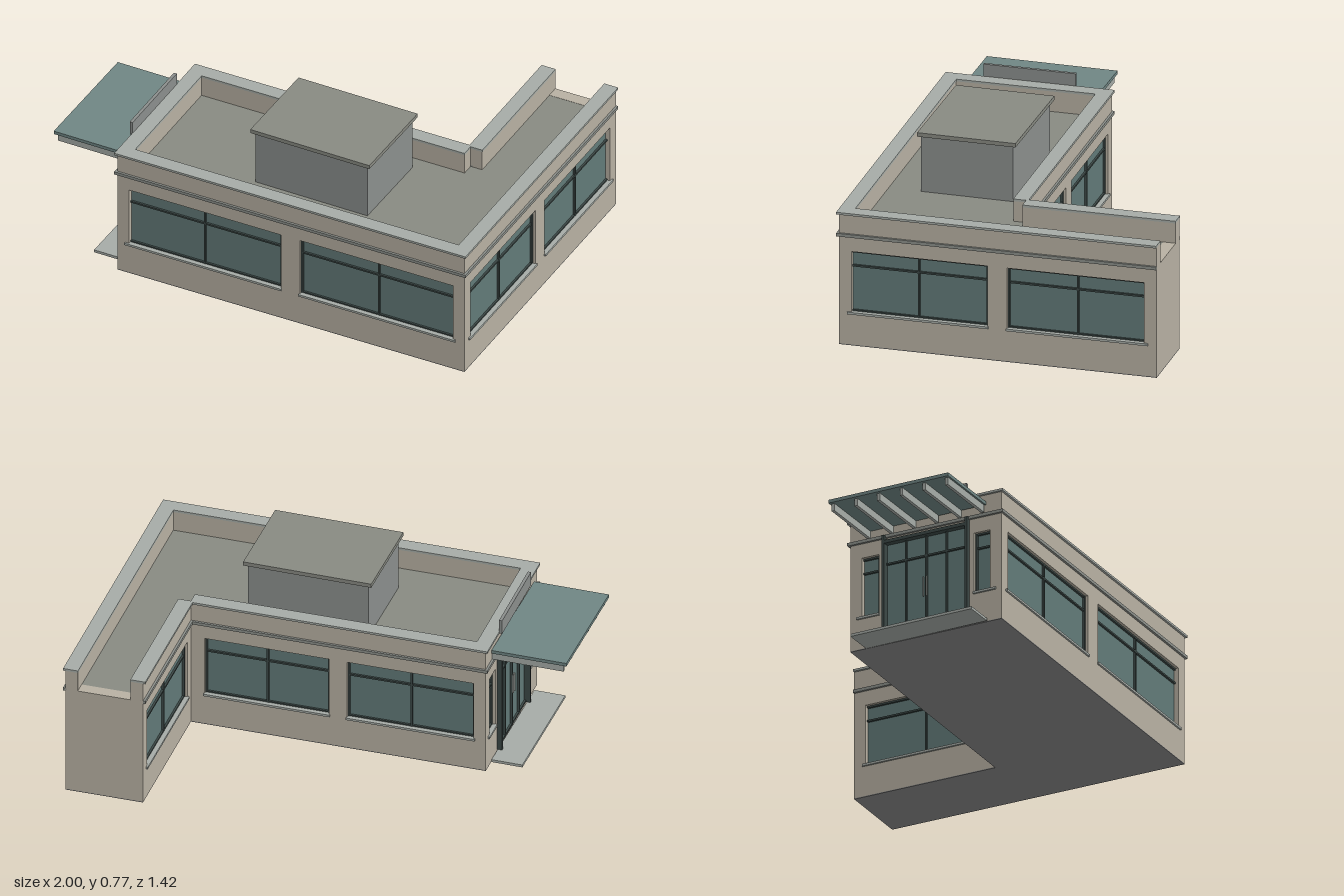
import * as THREE from 'three';

const paint = (color) => new THREE.MeshStandardMaterial({ color });
const MAT = {
  wall: paint(0xb8b1a3), coping: paint(0xa6aca7), band: paint(0x8c908b), roof: paint(0x888a82),
  glass: paint(0x627a78), frame: paint(0x3c4846), unit: paint(0x8b8f8d), floor: paint(0x888888),
  canopy: paint(0x708684),
};

// Plan of the L-shaped building: main block plus a wing at the back
const X0 = -0.667, X1 = 0.978, XW = 0.635, Z1 = 0.693, Z0 = -0.028, ZW = -0.7;
const T = 0.055, BASE = 0.004, ROOF = 0.5, TOP = 0.59;

// Box given by its minimum and maximum on each axis
function box(parent, name, mat, x0, x1, y0, y1, z0, z1) {
  const mesh = new THREE.Mesh(new THREE.BoxGeometry(x1 - x0, y1 - y0, z1 - z0), mat);
  mesh.position.set((x0 + x1) / 2, (y0 + y1) / 2, (z0 + z1) / 2);
  mesh.name = name;
  parent.add(mesh);
  return mesh;
}

// Glass pane with a border, upright bars and an optional transom; z is the face of the bars
function glazing(parent, name, u0, u1, y0, y1, z, panes, transom) {
  const g = new THREE.Group();
  g.name = name;
  const b = 0.008;
  box(g, 'glass', MAT.glass, u0, u1, y0, y1, z - 0.02, z - 0.01);
  for (let i = 0; i <= panes; i++) {
    const u = u0 + b / 2 + (i / panes) * (u1 - u0 - b);
    box(g, 'uprightBar', MAT.frame, u - b / 2, u + b / 2, y0, y1, z - 0.018, z);
  }
  const rows = [y0 + b / 2, y1 - b / 2];
  if (transom) rows.push(transom);
  for (const y of rows) box(g, 'crossBar', MAT.frame, u0, u1, y - b / 2, y + b / 2, z - 0.018, z - 0.001);
  parent.add(g);
}

// Wall running along local x, facing local +z, with openings cut through
function wall(parent, name, x, z, turn, length, { windows = [], door, height = TOP, ext = [0, 0], trim = true }) {
  const g = new THREE.Group();
  g.name = name;
  g.position.set(x, 0, z);
  g.rotation.y = turn;

  const rect = (target, a, b, c, d) =>
    target.moveTo(a, c).lineTo(b, c).lineTo(b, d).lineTo(a, d).closePath();
  const shape = rect(new THREE.Shape(), 0, length, BASE, height);
  for (const [a, b] of windows) shape.holes.push(rect(new THREE.Path(), a, b, 0.15, 0.425));
  if (door) shape.holes.push(rect(new THREE.Path(), door[0], door[1], 0.015, 0.47));
  const geo = new THREE.ExtrudeGeometry(shape, { depth: T, bevelEnabled: false });
  geo.translate(0, 0, -T);
  const panel = new THREE.Mesh(geo, MAT.wall);
  panel.name = 'wallPanel';
  g.add(panel);

  for (const [a, b] of windows) {
    glazing(g, 'window', a, b, 0.15, 0.425, -0.012, b - a > 0.3 ? 2 : 1, 0.357);
    box(g, 'windowSill', MAT.coping, a - 0.004, b + 0.004, 0.142, 0.152, -0.03, 0.008);
  }
  if (trim) {
    box(g, 'coping', MAT.coping, -ext[0], length + ext[1], TOP, 0.6, -T - 0.001, 0.01);
    box(g, 'band', MAT.band, -ext[0], length + ext[1], 0.491, 0.505, -0.01, 0.01);
  }
  parent.add(g);
  return g;
}

export function createModel() {
  const model = new THREE.Group();
  model.name = 'shopBuilding';

  // Building shell, turned very slightly on its plot
  const shell = new THREE.Group();
  shell.name = 'shell';
  shell.rotation.y = 0.012;
  model.add(shell);

  const H = Math.PI / 2, E = 0.01;
  wall(shell, 'frontWall', X0, Z1, 0, X1 - X0, { windows: [[0.04, 0.775], [0.865, 1.6]], ext: [E, E] });
  wall(shell, 'leftSideWall', X1, Z1, H, Z1 - ZW, { windows: [[0.041, 0.651], [0.737, 1.351]], ext: [E, 0] });
  wall(shell, 'backWall', XW, Z0, 2 * H, XW - X0, { windows: [[0.06, 0.61], [0.69, 1.25]], ext: [0, E] });
  wall(shell, 'wingInnerWall', XW, ZW, -H, Z0 - ZW, { windows: [[0.045, 0.625]] });
  wall(shell, 'wingEndWall', X1, ZW, 2 * H, X1 - XW, { height: ROOF, trim: false });
  const entry = wall(shell, 'entranceWall', X0, Z0, -H, Z1 - Z0, {
    windows: [[0.035, 0.135], [0.59, 0.69]], door: [0.165, 0.56], ext: [E, E],
  });

  // Roof decks and floor slabs for the main block and the wing
  const e = 0.001;
  box(shell, 'mainRoof', MAT.roof, X0 + e, X1 - e, 0.48, ROOF - e, Z0 + e, Z1 - e);
  box(shell, 'wingRoof', MAT.roof, XW + e, X1 - e, 0.48, ROOF - e, ZW + T, Z0 + e);
  box(shell, 'mainFloor', MAT.floor, X0, X1, 0, BASE, Z0, Z1);
  box(shell, 'wingFloor', MAT.floor, XW, X1, 0, BASE, ZW, Z0);

  // Entrance: glazed doors in a projecting surround
  glazing(entry, 'entranceDoors', 0.165, 0.56, 0.015, 0.47, 0.005, 4, 0.37);
  for (const u of [0.16, 0.555]) box(entry, 'doorPost', MAT.frame, u, u + 0.012, 0.012, 0.5, -0.02, 0.022);
  box(entry, 'doorHead', MAT.frame, 0.16, 0.567, 0.46, 0.475, -0.02, 0.022);
  for (const u of [0.352, 0.368]) box(entry, 'doorHandle', MAT.coping, u - 0.002, u + 0.002, 0.18, 0.27, 0.005, 0.014);

  // Plain fascia board above the entrance
  box(entry, 'fasciaBoard', MAT.unit, 0.16, 0.565, 0.59, 0.655, 0.008, 0.022);

  // Canopy on rafters
  const canopy = new THREE.Group();
  canopy.name = 'canopy';
  box(canopy, 'canopyPanel', MAT.canopy, -1, -0.668, 0.54, 0.555, 0.055, 0.63);
  for (let i = 0; i < 6; i++) {
    const z = 0.07 + i * 0.109;
    box(canopy, 'rafter', MAT.coping, -0.985, -0.668, 0.507, 0.54, z - 0.007, z + 0.007);
  }
  model.add(canopy);

  // Entrance step
  box(model, 'entranceStep', MAT.coping, -0.805, -0.668, 0, 0.012, 0.055, 0.635);

  // Rooftop plant room with an overhanging lid
  box(model, 'plantRoom', MAT.unit, -0.113, 0.422, ROOF - 0.01, 0.754, 0.085, 0.49);
  box(model, 'plantRoomLid', MAT.roof, -0.13, 0.438, 0.752, 0.77, 0.07, 0.503);

  return model;
}
